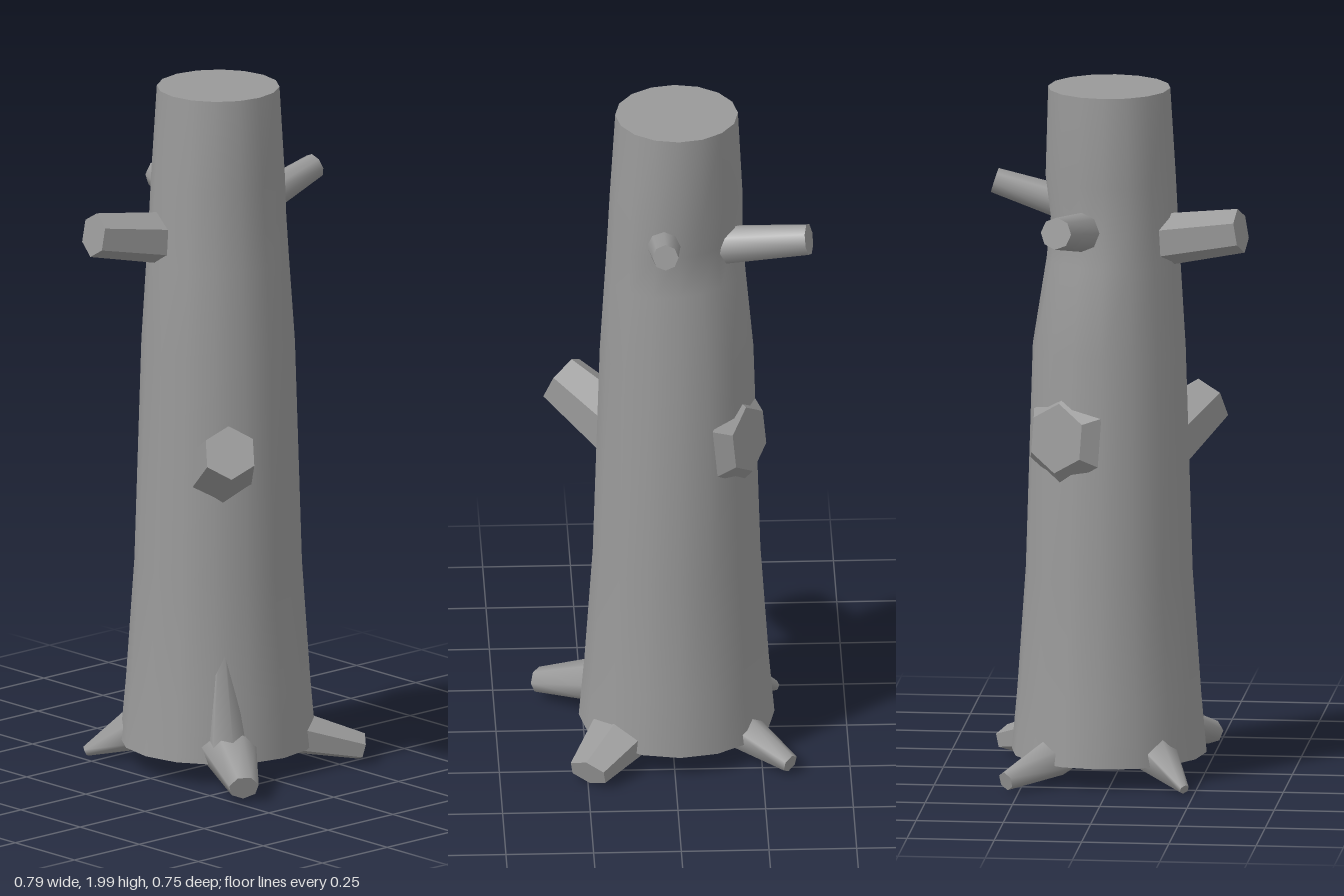
import * as THREE from 'three';

const SIDES = 16;
const CX = -0.014, CZ = -0.023; // trunk axis

// Height, radius and depth of the hollow on the back of the trunk
const RINGS = [
  [0.07, 0.279, 0], [0.25, 0.263, 0], [0.6, 0.239, 0], [1.25, 0.219, 0],
  [1.5, 0.204, 0.16], [1.62, 0.197, 0.2], [1.74, 0.191, 0.06], [2, 0.175, 0],
];

function trunkGeometry() {
  const pos = [], index = [];
  const hollow = Math.atan2(-0.87, -0.5);
  for (const [y, r, dent] of RINGS) {
    for (let j = 0; j < SIDES; j++) {
      const a = (j / SIDES) * Math.PI * 2;
      const rr = r * (1 - dent * Math.max(0, Math.cos(a - hollow)) ** 2);
      pos.push(CX + rr * Math.cos(a), y, CZ + rr * Math.sin(a));
    }
  }
  for (let i = 0; i < RINGS.length - 1; i++) {
    for (let j = 0; j < SIDES; j++) {
      const k = (j + 1) % SIDES;
      const a = i * SIDES + j, b = i * SIDES + k;
      index.push(a, a + SIDES, b, b, a + SIDES, b + SIDES);
    }
  }
  const g = new THREE.BufferGeometry();
  g.setAttribute('position', new THREE.Float32BufferAttribute(pos, 3));
  g.setIndex(index);
  g.computeVertexNormals();
  return g;
}

export function createModel() {
  const group = new THREE.Group();
  const bark = new THREE.MeshStandardMaterial({ color: 0x999999 });
  bark.name = 'greyBark';

  const add = (name, geometry) => {
    const mesh = new THREE.Mesh(geometry, bark);
    mesh.name = name;
    group.add(mesh);
    return mesh;
  };

  // Tapered stub from p0 to p1; flatten squashes it vertically, faceted splits the sides
  const stub = (name, p0, p1, r0, r1, sides, faceted = false, flatten = 1) => {
    const a = new THREE.Vector3(...p0), b = new THREE.Vector3(...p1);
    const dir = b.clone().sub(a);
    const len = dir.length();
    dir.normalize();
    let g = new THREE.CylinderGeometry(r1, r0, len, sides);
    g.translate(0, len / 2, 0);
    g.scale(1, 1, flatten);
    const side = new THREE.Vector3(dir.z, 0, -dir.x).normalize();
    const up = new THREE.Vector3().crossVectors(side, dir);
    g.applyMatrix4(new THREE.Matrix4().makeBasis(side, dir, up));
    g.translate(a.x, a.y, a.z);
    if (faceted) {
      g = g.toNonIndexed();
      g.computeVertexNormals();
    }
    return add(name, g);
  };

  // Trunk and its cut ends
  add('trunk', trunkGeometry());
  const cap = (name, [y, r], turn) => {
    const g = new THREE.CircleGeometry(r, SIDES);
    g.rotateX(turn);
    g.translate(CX, y, CZ);
    add(name, g);
  };
  cap('trunkTop', RINGS[RINGS.length - 1], -Math.PI / 2);
  cap('trunkBase', RINGS[0], Math.PI / 2);

  // Sawn branch stubs
  stub('frontBranch', [-0.055, 1.56, 0.08], [-0.115, 1.61, 0.365], 0.078, 0.064, 6, true);
  stub('rightBranch', [-0.1, 1.595, -0.065], [-0.387, 1.647, -0.137], 0.06, 0.046, 8);
  stub('backBranch', [0.028, 1.64, -0.12], [0.03, 1.712, -0.355], 0.052, 0.037, 8);
  stub('leftBranch', [0.1, 0.9, 0.075], [0.305, 1.025, 0.222], 0.1, 0.078, 6, true);

  // Shallow scar where a branch has healed over
  stub('branchScar', [-0.18, 1.01, -0.13], [-0.217, 1.015, -0.153], 0.14, 0.1, 6, true);

  // Roots spreading from the foot
  stub('frontLeftRoot', [0.17, 0.11, 0.11], [0.37, 0.05, 0.228], 0.085, 0.044, 7, false, 0.8);
  stub('backLeftRoot', [0.13, 0.1, -0.16], [0.25, 0.045, -0.335], 0.108, 0.064, 6, true, 0.6);
  stub('backRightRoot', [-0.18, 0.09, -0.15], [-0.328, 0.038, -0.287], 0.065, 0.028, 6);
  stub('frontRightRoot', [-0.18, 0.1, 0.12], [-0.305, 0.02, 0.222], 0.07, 0.015, 6);

  // Flare of bark running down into the front left root
  stub('rootFlare', [0.145, 0.5, 0.115], [0.195, 0.1, 0.135], 0.01, 0.06, 6);

  return group;
}
